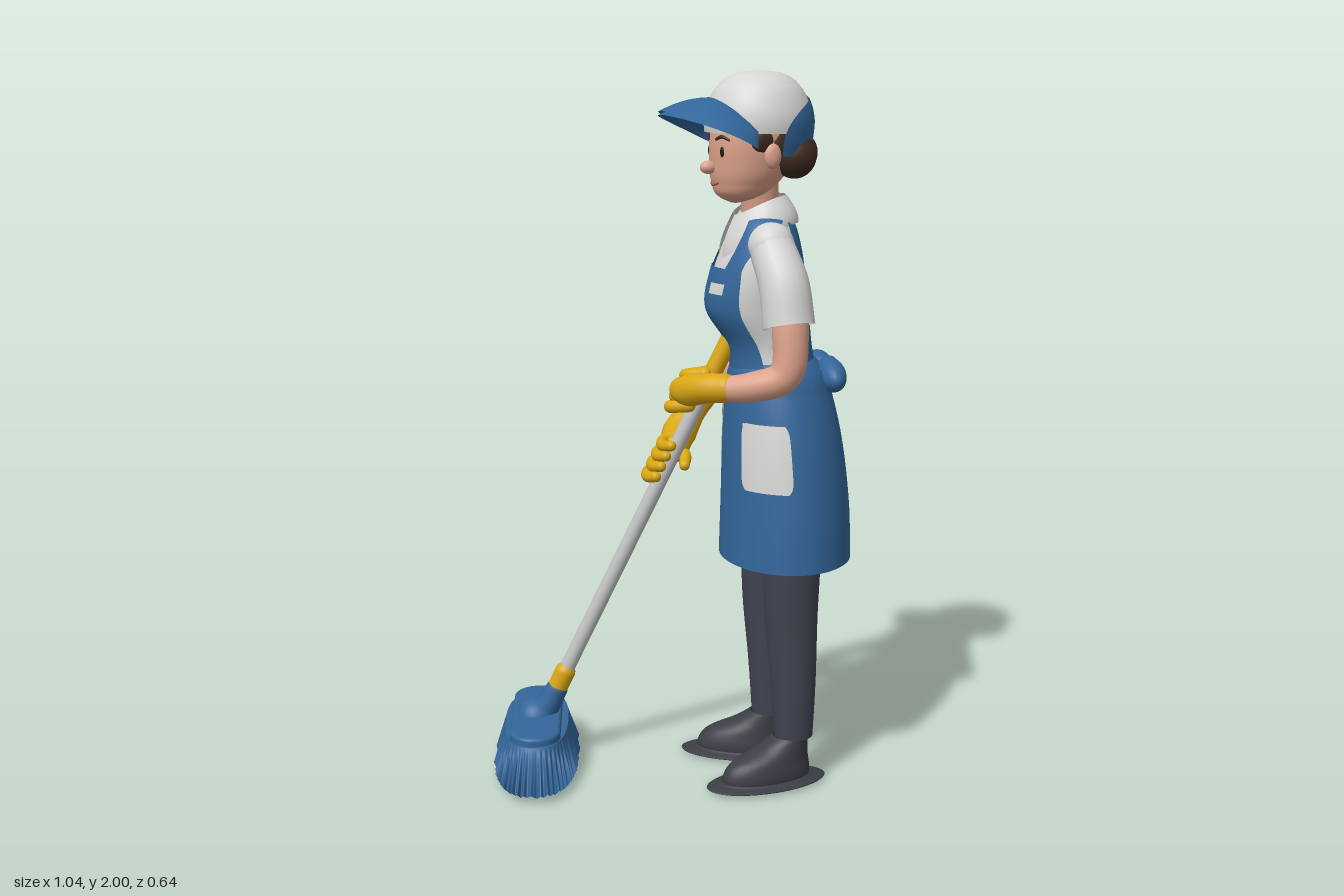
import * as THREE from 'three';
import { ParametricGeometry } from 'three/addons/geometries/ParametricGeometry.js';

const mat = (name, color) => new THREE.MeshStandardMaterial({ name, color, side: THREE.DoubleSide });
const blue = mat('apronBlue', 0x33669a), white = mat('shirtWhite', 0xd6d6d4), yellow = mat('gloveYellow', 0xd9a612);
const skin = mat('skin', 0xdba189), brown = mat('hairBrown', 0x3d2a20), trouser = mat('trouserSlate', 0x3f434f);
const shoe = mat('shoeGrey', 0x3c3e46), steel = mat('poleGrey', 0xc2c2c2), dark = mat('eyeDark', 0x1d1817), lip = mat('lipRed', 0xa9594c);

function add(parent, name, geo, material, pos = [0, 0, 0], scale = [1, 1, 1]) {
  const m = new THREE.Mesh(geo, material);
  m.name = name;
  m.position.set(...pos);
  m.scale.set(...scale);
  parent.add(m);
  return m;
}
const ball = (parent, name, material, pos, scale) => add(parent, name, new THREE.SphereGeometry(1, 24, 16), material, pos, scale);

// Smoothly blended elliptical sections, each [y, centreX, centreZ, radiusX, radiusZ]
function sections(rows) {
  const f = new THREE.CubicInterpolant(rows.map(r => r[0]), rows.flatMap(r => r.slice(1)), 4);
  return { y0: rows[0][0], y1: rows[rows.length - 1][0], at: y => [...f.evaluate(y)] };
}
// Patch of a sectioned form; range(t) gives the angles, measured from the front (+z)
function patch(s, y0 = s.y0, y1 = s.y1, range = () => [-Math.PI, Math.PI], out = 0, slices = 36, stacks = 24) {
  return new ParametricGeometry((u, v, p) => {
    const y = y0 + (y1 - y0) * v, [cx, cz, rx, rz] = s.at(y), [a0, a1] = range(v);
    const a = a0 + (a1 - a0) * u;
    p.set(cx + (rx + out) * Math.sin(a), y, cz + (rz + out) * Math.cos(a));
  }, slices, stacks);
}
// Rounded tube through points [x, y, z, radius]
function limb(parent, name, material, pts, caps = true) {
  const curve = new THREE.CatmullRomCurve3(pts.map(p => new THREE.Vector3(...p.slice(0, 3))));
  const n = pts.length * 6, sides = 18, geo = new THREE.TubeGeometry(curve, n, 1, sides), pos = geo.attributes.position;
  const v = new THREE.Vector3(), c = new THREE.Vector3();
  for (let i = 0; i <= n; i++) {
    curve.getPointAt(i / n, c);
    const k = (i / n) * (pts.length - 1), j = Math.min(Math.floor(k), pts.length - 2);
    const r = THREE.MathUtils.lerp(pts[j][3], pts[j + 1][3], k - j);
    for (let q = 0; q <= sides; q++) {
      const id = i * (sides + 1) + q;
      v.fromBufferAttribute(pos, id).sub(c).multiplyScalar(r).add(c);
      pos.setXYZ(id, v.x, v.y, v.z);
    }
  }
  add(parent, name, geo, material);
  if (caps) for (const p of [pts[0], pts[pts.length - 1]]) ball(parent, name + 'End', material, p.slice(0, 3), [p[3], p[3], p[3]]);
}
function group(parent, name, pos, yaw) {
  const g = new THREE.Group();
  g.name = name;
  g.position.set(...pos);
  g.rotation.y = yaw;
  parent.add(g);
  return g;
}

function buildBody(root) {
  const body = group(root, 'body', [0.3, 0, -0.08], -1.257);
  const torso = sections([[1.16, -0.008, 0.01, 0.13, 0.112], [1.25, -0.01, 0.025, 0.12, 0.11], [1.35, -0.02, 0.058, 0.138, 0.135],
    [1.45, -0.02, 0.058, 0.148, 0.122], [1.53, -0.02, 0.05, 0.14, 0.1], [1.59, -0.02, 0.046, 0.112, 0.078], [1.63, -0.02, 0.045, 0.06, 0.055]]);
  add(body, 'shirt', patch(torso), white);
  // Apron bib, straps and back
  add(body, 'frontBib', patch(torso, 1.17, 1.47, t => [-1.15 + 0.2 * t, 1.15 - 0.2 * t], 0.009), blue);
  add(body, 'backBib', patch(torso, 1.17, 1.612, t => [Math.PI - 0.95, Math.PI + 0.95], 0.009), blue);
  for (const s of [-1, 1])
    add(body, 'strap', patch(torso, 1.46, 1.615, t => [s * (0.5 + 0.35 * t), s * (0.95 + 1.3 * t * t)], 0.009, 10), blue);
  add(body, 'nameTag', patch(torso, 1.4, 1.43, () => [0.25, 0.65], 0.015, 8, 2), white);
  // Skirt of the apron with its overlapping back panel and pockets
  const skirt = sections([[0.645, 0.006, -0.02, 0.235, 0.18], [0.8, 0, -0.02, 0.23, 0.175], [1.0, -0.005, -0.01, 0.207, 0.16],
    [1.12, -0.008, 0, 0.18, 0.142], [1.19, -0.008, 0.005, 0.152, 0.128], [1.215, -0.008, 0.008, 0.12, 0.108]]);
  add(body, 'apronSkirt', patch(skirt, 0.645, 1.215, undefined, 0, 48), blue);
  add(body, 'apronBackPanel', patch(skirt, 0.65, 1.19, () => [1.95, Math.PI + 1.2], 0.008), blue);
  for (const s of [-1, 1]) {
    const edge = t => 0.41 - 0.07 * Math.pow(Math.abs(2 * t - 1), 8);
    add(body, 'pocket', patch(skirt, 0.87, 1.055, t => [s * 1.03 - edge(t), s * 1.03 + edge(t)], 0.012, 16, 20), white);
    add(body, 'pocketHem', patch(skirt, 1.02, 1.055, t => [s * 1.03 - 0.36, s * 1.03 + 0.36], 0.018, 16, 4), white);
    // Bow at the back
    ball(body, 'bowLoop', blue, [-0.008 + s * 0.075, 1.17, -0.135], [0.08, 0.045, 0.04]).rotation.z = -s * 0.15;
  }
  ball(body, 'bowKnot', blue, [-0.008, 1.185, -0.15], [0.025, 0.025, 0.025]);
  // Neck and folded collar, dipping at the front
  limb(body, 'neck', skin, [[-0.015, 1.56, 0.05, 0.06], [-0.01, 1.64, 0.055, 0.052], [0, 1.72, 0.06, 0.052]]);
  add(body, 'collar', new ParametricGeometry((u, v, p) => {
    const a = 0.2 + u * (Math.PI * 2 - 0.4), dip = Math.pow((1 + Math.cos(a)) / 2, 2);
    const r = 0.068 + 0.036 * Math.sin(v * Math.PI / 2) + 0.012 * dip;
    p.set(-0.016 + r * Math.sin(a), 1.665 - 0.075 * v - dip * (0.055 + 0.04 * v), 0.05 + r * Math.cos(a));
  }, 40, 8), white);
}

function buildHead(root) {
  const head = group(root, 'head', [0.225, 0, -0.06], -1.08);
  const face = sections([[1.645, 0, 0.05, 0.012, 0.012], [1.66, 0, 0.04, 0.055, 0.055], [1.7, 0, 0.022, 0.088, 0.093],
    [1.76, 0, 0.006, 0.107, 0.115], [1.83, 0, 0, 0.112, 0.118], [1.92, 0, 0, 0.09, 0.095]]);
  add(head, 'face', patch(face), skin);
  ball(head, 'nose', skin, [0, 1.742, 0.13], [0.018, 0.018, 0.024]);
  for (const s of [-1, 1]) {
    ball(head, 'eye', dark, [s * 0.043, 1.785, 0.106], [0.011, 0.018, 0.007]);
    ball(head, 'ear', skin, [s * 0.113, 1.775, -0.01], [0.014, 0.034, 0.024]);
    limb(head, 'eyebrow', brown, [[s * 0.025, 1.818, 0.117, 0.004], [s * 0.045, 1.825, 0.11, 0.005], [s * 0.065, 1.817, 0.097, 0.003]]);
    ball(head, 'sideHair', brown, [s * 0.1, 1.815, 0.015], [0.018, 0.035, 0.035]);
  }
  limb(head, 'mouth', lip, [[-0.025, 1.701, 0.11, 0.003], [0, 1.695, 0.117, 0.004], [0.025, 1.701, 0.11, 0.003]]);
  ball(head, 'backHair', brown, [0, 1.8, -0.035], [0.116, 0.09, 0.1]);
  ball(root, 'hairBun', brown, [0.34, 1.773, -0.035], [0.06, 0.062, 0.06]);
  ball(root, 'hairBun', brown, [0.335, 1.775, -0.14], [0.062, 0.062, 0.06]);
  // Cap crown, back panel and brim
  const crown = sections([[1.775, 0, -0.018, 0.132, 0.135], [1.82, 0, -0.015, 0.142, 0.145], [1.87, 0, -0.015, 0.145, 0.148], [1.92, 0, -0.015, 0.132, 0.135],
    [1.96, 0, -0.015, 0.108, 0.11], [1.985, 0, -0.015, 0.075, 0.077], [1.997, 0, -0.015, 0.035, 0.035], [2, 0, -0.015, 0.001, 0.001]]);
  add(head, 'capCrown', patch(crown, 1.835, 2), white);
  add(head, 'capBackPanel', patch(crown, 1.775, 1.93, t => {
    const w = 1.5 * Math.sqrt(1 - 0.99 * t * t * t);
    return [Math.PI - w, Math.PI + w];
  }, 0.005), blue);
  const brim = drop => new ParametricGeometry((u, v, p) => {
    const a = (u * 2 - 1) * 1.2, k = Math.pow(Math.max(0, Math.cos(a * 1.25)), 0.5);
    const r = 0.138 + v * (0.012 + 0.122 * k);
    p.set(r * Math.sin(a), 1.928 - drop - 0.085 * (a / 1.2) ** 2 - 0.035 * v * v, -0.01 + r * Math.cos(a));
  }, 32, 10);
  add(head, 'capBrim', brim(0), blue);
  add(head, 'capBrimUnderside', brim(0.01), blue);
}

function buildLegs(root) {
  const shape = sections([[0, 0, 0.078, 0.06, 0.128], [0.035, 0, 0.078, 0.067, 0.133], [0.075, 0, 0.066, 0.061, 0.116],
    [0.11, 0, 0.028, 0.053, 0.076], [0.14, 0, 0.004, 0.049, 0.05]]);
  const sole = sections([[0, 0, 0.078, 0.001, 0.001], [0.004, 0, 0.078, 0.066, 0.134], [0.022, 0, 0.078, 0.069, 0.137], [0.026, 0, 0.078, 0.06, 0.125]]);
  const legs = [
    ['left', [0.355, 0.035], [0.367, 0.037], -1.05],
    ['right', [0.275, -0.15], [0.287, -0.143], -1.55]];
  for (const [side, [tx, tz], [bx, bz], yaw] of legs) {
    const leg = sections([[0.14, bx, bz, 0.055, 0.055], [0.3, bx - 0.003, bz, 0.064, 0.06], [0.5, tx, tz, 0.075, 0.068],
      [0.65, tx, tz, 0.08, 0.074], [0.85, tx, tz, 0.08, 0.074]]);
    add(root, side + 'TrouserLeg', patch(leg), trouser);
    const foot = group(root, side + 'Foot', [bx - 0.005, 0, bz], yaw);
    add(foot, 'shoe', patch(shape), shoe);
    add(foot, 'sole', patch(sole, 0, 0.026, undefined, 0, 36, 12), shoe);
  }
}

// Point on the pole axis at height y
const onPole = y => [-0.317 + 0.476 * (y - 0.25), y, -0.012 - 0.04 * (y - 0.25)];

function buildArms(root) {
  // Left arm, gripping high
  limb(root, 'leftSleeve', white, [[0.285, 1.535, 0.03, 0.062], [0.325, 1.44, 0.09, 0.068], [0.342, 1.33, 0.115, 0.071]], false);
  ball(root, 'leftShoulder', white, [0.285, 1.535, 0.03], [0.064, 0.064, 0.064]);
  limb(root, 'leftArm', skin, [[0.33, 1.44, 0.095, 0.05], [0.347, 1.32, 0.125, 0.05], [0.335, 1.2, 0.135, 0.046], [0.25, 1.165, 0.125, 0.042], [0.15, 1.15, 0.1, 0.034]]);
  limb(root, 'leftGlove', yellow, [[0.17, 1.155, 0.105, 0.04], [0.11, 1.15, 0.085, 0.042], [0.06, 1.135, 0.045, 0.046], [0.04, 1.13, 0.01, 0.035]]);
  // Right arm, gripping low
  limb(root, 'rightSleeve', white, [[0.23, 1.535, -0.18, 0.062], [0.215, 1.44, -0.235, 0.067], [0.205, 1.33, -0.255, 0.07]], false);
  ball(root, 'rightShoulder', white, [0.23, 1.535, -0.18], [0.064, 0.064, 0.064]);
  limb(root, 'rightArm', skin, [[0.215, 1.44, -0.235, 0.05], [0.205, 1.32, -0.265, 0.05], [0.18, 1.2, -0.275, 0.046], [0.125, 1.12, -0.262, 0.042], [0.065, 1.06, -0.235, 0.034]]);
  limb(root, 'rightGlove', yellow, [[0.08, 1.075, -0.24, 0.04], [0.045, 1.03, -0.215, 0.042], [0.012, 0.97, -0.15, 0.05], [0.005, 0.94, -0.085, 0.042]]);
  // Fingers curled round the pole
  for (const [side, top, s, w] of [['left', 1.175, 1, 1], ['right', 0.975, -1, 0.65]]) {
    for (let i = 0; i < 4; i++) {
      const [x, y, z] = onPole(top - i * 0.03);
      limb(root, side + 'Finger', yellow, [[x - 0.02 * w, y, z + s * 0.055, 0.019], [x - 0.075 * w, y - 0.01, z + s * 0.03, 0.018],
        [x - 0.07 * w, y - 0.015, z - s * 0.015, 0.017], [x - 0.03 * w, y - 0.01, z - s * 0.04, 0.015]]);
    }
    const [x, y, z] = onPole(top - 0.04);
    limb(root, side + 'Thumb', yellow, [[x, y, z + s * 0.05, 0.02], [x + 0.03, y - 0.01, z + s * 0.025, 0.018], [x + 0.035, y - 0.03, z - s * 0.015, 0.015]]);
  }
}

function buildBroom(root) {
  const stick = (name, m, a, b, r) => limb(root, name, m, [[...onPole(a), r], [...onPole((a + b) / 2), r], [...onPole(b), r]]);
  stick('pole', steel, 0.24, 1.2, 0.022);
  stick('poleGrip', yellow, 1.17, 1.27, 0.026);
  stick('ferrule', yellow, 0.225, 0.275, 0.03);
  limb(root, 'broomNeck', blue, [[-0.39, 0.135, 0, 0.06], [-0.36, 0.17, -0.006, 0.038], [-0.33, 0.222, -0.011, 0.032]]);
  const broom = group(root, 'broomHead', [-0.387, 0, 0.004], -1.4);
  // Rounded block
  const s = new THREE.Shape();
  s.absarc(0.145, 0, 0.062, -Math.PI / 2, Math.PI / 2);
  s.absarc(-0.145, 0, 0.062, Math.PI / 2, Math.PI * 1.5);
  s.closePath();
  const block = new THREE.ExtrudeGeometry(s, { depth: 0.03, bevelSize: 0.01, bevelThickness: 0.01, bevelSegments: 4, curveSegments: 20 });
  add(broom, 'broomBlock', block.rotateX(-Math.PI / 2), blue, [0, 0.115, 0]);
  // Flared, tufted bristles
  const pow = x => Math.sign(x) * Math.pow(Math.abs(x), 0.8);
  const tuft = (a, v) => v * (0.032 * Math.sin(a * 46) + 0.015 * Math.sin(a * 19));
  const ring = (a, v, k, p) => {
    const f = (1 + tuft(a, v)) * k;
    p.set((0.225 + 0.08 * v) * f * pow(Math.cos(a)), 0.132 - 0.112 * v + 0.22 * tuft(a, v) * k, (0.092 + 0.028 * v) * f * pow(Math.sin(a)));
  };
  add(broom, 'bristles', new ParametricGeometry((u, v, p) => ring(-u * Math.PI * 2, 1 - v, 1, p), 368, 8), blue);
  add(broom, 'bristleTips', new ParametricGeometry((u, v, p) => ring(u * Math.PI * 2, 1, 1 - 0.99 * v, p), 368, 3), blue);
  add(broom, 'bristleTop', new ParametricGeometry((u, v, p) => ring(-u * Math.PI * 2, 0, 1 - 0.99 * v, p), 64, 2), blue);
}

export function createModel() {
  const root = new THREE.Group();
  root.name = 'cleanerWithBroom';
  for (const build of [buildBody, buildHead, buildLegs, buildArms, buildBroom]) build(root);
  return root;
}
